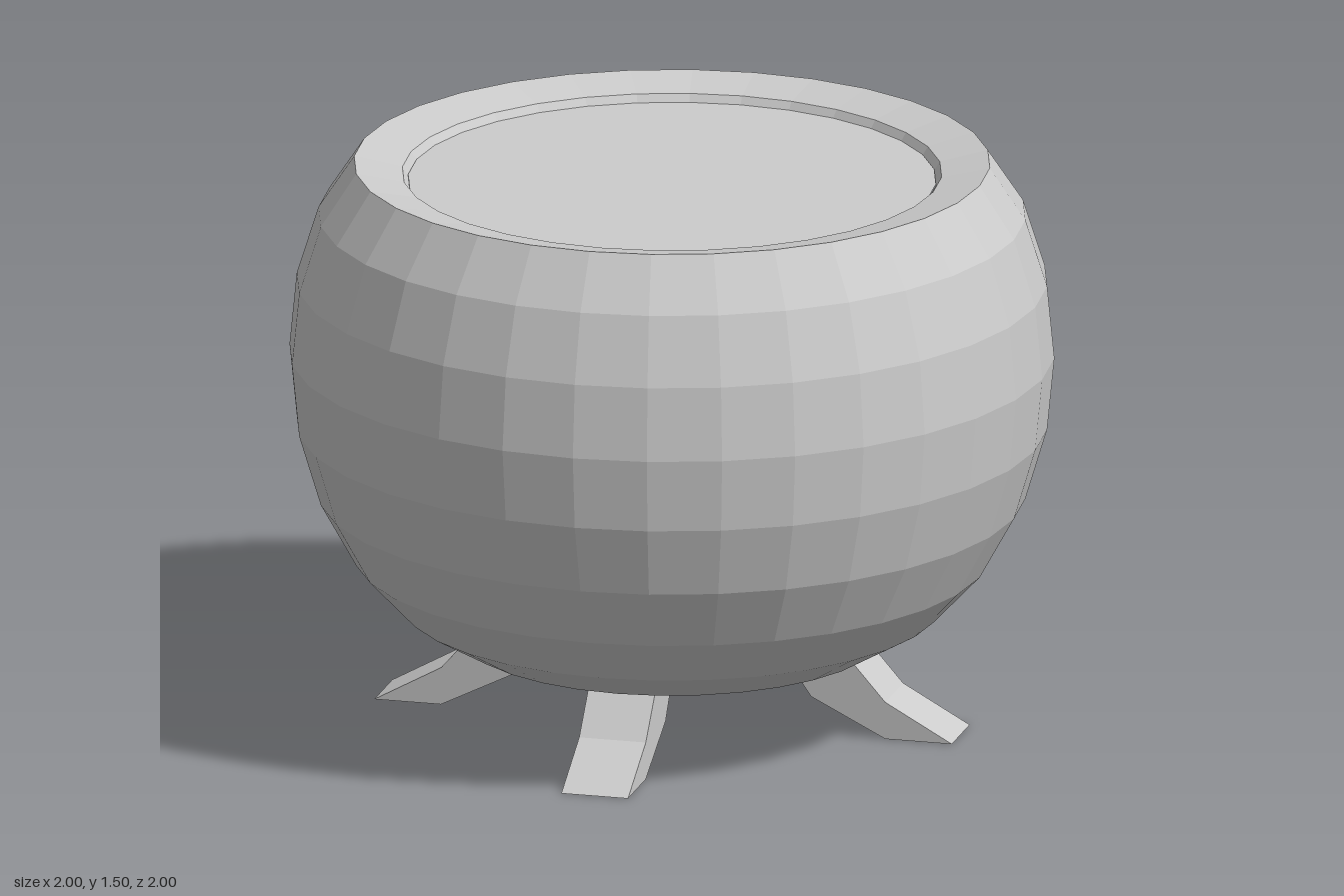
import * as THREE from 'three';

const material = new THREE.MeshStandardMaterial({ color: 0xcccccc, flatShading: true });
const SIDES = 32;

function lathe(name, points) {
  const profile = points.map(([r, y]) => new THREE.Vector2(r, y));
  const mesh = new THREE.Mesh(new THREE.LatheGeometry(profile, SIDES), material);
  mesh.name = name;
  return mesh;
}

// Bent foot: side outline in (radius, height), extruded to its width
function legGeometry() {
  const width = 0.18;
  const outline = [[0.6, 0], [0.78, 0], [0.6, 0.1], [0.53, 0.18], [0.47, 0.25], [0.3, 0.25], [0.355, 0.165], [0.4, 0.1]];
  const shape = new THREE.Shape(outline.map(([r, y]) => new THREE.Vector2(r, y)));
  const geometry = new THREE.ExtrudeGeometry(shape, { depth: width, bevelEnabled: false });
  return geometry.translate(0, 0, -width / 2);
}

export function createModel() {
  const model = new THREE.Group();
  model.name = 'footedPot';

  // Round body with a flattened underside
  model.add(lathe('bowl', [
    [0, 0.14], [0.195, 0.145], [0.383, 0.163], [0.556, 0.213], [0.707, 0.3], [0.831, 0.432],
    [0.924, 0.6], [0.981, 0.79], [1, 0.985], [0.981, 1.18], [0.924, 1.36], [0.831, 1.5],
  ]));

  // Rim dipping gently inwards, then a short step down to the contents
  model.add(lathe('rim', [[0.831, 1.5], [0.705, 1.473], [0.69, 1.45]]));

  // Flat surface of the contents
  const contents = new THREE.Mesh(new THREE.CircleGeometry(0.69, SIDES), material);
  contents.name = 'contents';
  contents.rotation.x = -Math.PI / 2;
  contents.position.y = 1.453;
  model.add(contents);

  // Four legs, one on each axis
  const geometry = legGeometry();
  const names = ['leftLeg', 'backLeg', 'rightLeg', 'frontLeg'];
  names.forEach((name, i) => {
    const leg = new THREE.Mesh(geometry, material);
    leg.name = name;
    leg.rotation.y = (i * Math.PI) / 2;
    model.add(leg);
  });

  return model;
}
